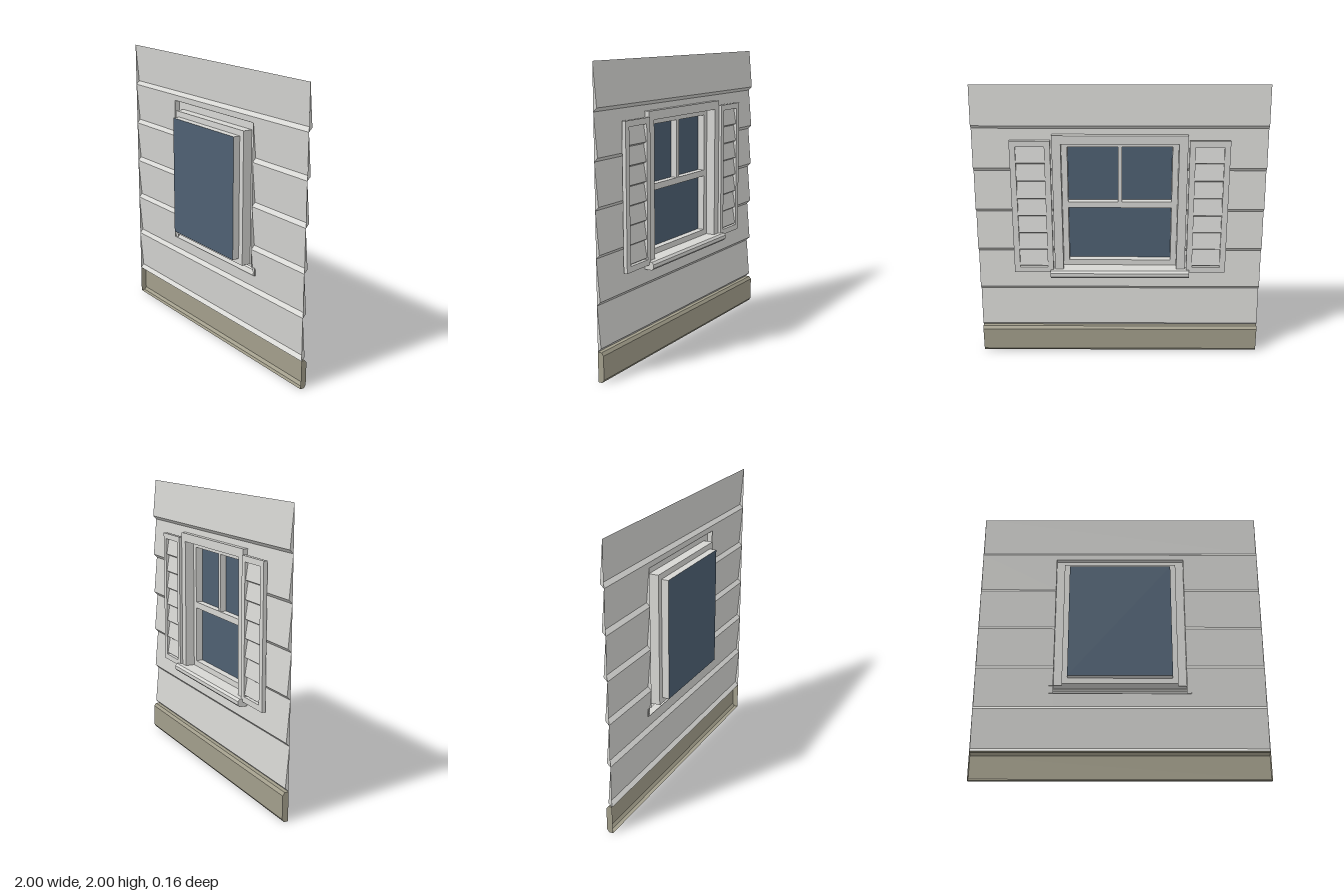
import * as THREE from 'three';

const material = (name, color) => {
  const m = new THREE.MeshStandardMaterial({ color, side: THREE.DoubleSide });
  m.name = name;
  return m;
};

// Flat-shaded geometry from triangles of [x, y, z] corners
function fromCorners(corners) {
  const g = new THREE.BufferGeometry();
  g.setAttribute('position', new THREE.Float32BufferAttribute(corners.flat(), 3));
  g.computeVertexNormals();
  return g;
}
const quad = (a, b, c, d) => [a, b, c, a, c, d];

// Sheet swept along x from an open [z, y] profile listed top to bottom; ends can be capped
function sweep(profiles, x0, x1, caps = []) {
  const out = [];
  for (const p of profiles) {
    for (let i = 0; i < p.length - 1; i++) {
      const [za, ya] = p[i], [zb, yb] = p[i + 1];
      out.push(...quad([x0, ya, za], [x0, yb, zb], [x1, yb, zb], [x1, ya, za])
        .reverse());
    }
    for (const x of caps) {
      for (let i = 1; i < p.length - 1; i++) {
        const tri = [p[0], p[i], p[i + 1]].map(([z, y]) => [x, y, z]);
        out.push(...(x < 0 ? tri : tri.reverse()));
      }
    }
  }
  // outward means towards -z
  return fromCorners(out);
}

// Thin rectangular rings joined one after the other: [halfWidth, bottom, top, z]
function rings(list, withBottom = true) {
  const corners = ([w, b, t, z]) => [[-w, b, z], [-w, t, z], [w, t, z], [w, b, z]];
  const out = [];
  for (let i = 0; i < list.length - 1; i++) {
    const a = corners(list[i]), c = corners(list[i + 1]);
    for (let k = 0; k < (withBottom ? 4 : 3); k++) {
      const n = (k + 1) % 4;
      out.push(...quad(a[k], a[n], c[n], c[k]));
    }
  }
  return fromCorners(out);
}

export function createModel() {
  const model = new THREE.Group();
  model.name = 'windowWall';
  const paint = material('palePaint', 0xd6d6d3);
  const stone = material('oliveBase', 0xa29e8b);
  const glass = material('blueGlass', 0x4e6072);

  const add = (name, geometry, mat, parent = model) => {
    const mesh = new THREE.Mesh(geometry, mat);
    mesh.name = name;
    parent.add(mesh);
    return mesh;
  };
  const box = (name, x0, x1, y0, y1, z0, z1, parent) =>
    add(name, new THREE.BoxGeometry(x1 - x0, y1 - y0, z1 - z0), paint, parent)
      .position.set((x0 + x1) / 2, (y0 + y1) / 2, (z0 + z1) / 2);

  // Lapped siding with an opening for the window
  const holeW = 0.46, holeB = 0.615, holeT = 1.66, lap = 0.025;
  const board = b => [[0, b + 0.3], [-lap, b + lap], [0, b]];
  const slope = (y, b) => -lap * (b + 0.3 - y) / (0.3 - lap);
  const siding = new THREE.Group();
  siding.name = 'siding';
  model.add(siding);
  add('fullBoards', sweep([board(0.2), board(1.7)], -1, 1, [-1, 1]), paint, siding);
  const cutBoards = [0.5, 0.8, 1.1, 1.4].map(board);
  add('rightBoards', sweep(cutBoards, -1, -holeW, [-1]), paint, siding);
  add('leftBoards', sweep(cutBoards, holeW, 1, [1]), paint, siding);
  add('boardBelowWindow',
    sweep([[[slope(holeB, 0.5), holeB], [-lap, 0.5 + lap], [0, 0.5]]], -holeW, holeW), paint, siding);
  add('boardAboveWindow',
    sweep([[[0, 1.7], [slope(holeT, 1.4), holeT]]], -holeW, holeW), paint, siding);

  // Chamfered base, open at the inside
  add('base', sweep([[[0, 0.2], [-0.028, 0.2], [-0.043, 0.18], [-0.043, 0.02], [-0.028, 0], [0, 0]]],
    -1, 1, [-1, 1]), stone);

  // Window: casing, stepped reveal, glass, bars
  const win = new THREE.Group();
  win.name = 'window';
  model.add(win);
  add('casing', rings([[0.46, 0.67, 1.66, 0], [0.46, 0.67, 1.66, -0.037], [0.4, 0.67, 1.6, -0.037]], false),
    paint, win);
  add('reveal', rings([[0.4, 0.67, 1.6, -0.037], [0.4, 0.67, 1.6, 0.03], [0.36, 0.71, 1.56, 0.03],
    [0.36, 0.71, 1.56, 0.08]]), paint, win);
  const pane = add('glass', new THREE.PlaneGeometry(0.72, 0.85), glass, win);
  pane.position.set(0, 1.135, 0.08);
  box('meetingRail', -0.36, 0.36, 1.113, 1.157, 0.03, 0.078, win);
  box('upperBar', -0.014, 0.014, 1.157, 1.56, 0.032, 0.078, win);

  // Sill with a chamfered nose
  add('sill', sweep([[[-0.008, 0.67], [-0.07, 0.67], [-0.085, 0.655], [-0.085, 0.63], [-0.07, 0.615],
    [-0.008, 0.615]]], -0.49, 0.49, [-0.49, 0.49]), paint, win);

  // Louvred shutters
  const y0 = 0.65, y1 = 1.625, rim = 0.04, count = 7;
  const pitch = (y1 - y0 - 2 * rim) / count;
  for (const [name, x0] of [['leftShutter', 0.47], ['rightShutter', -0.745]]) {
    const x1 = x0 + 0.275;
    const shutter = new THREE.Group();
    shutter.name = name;
    model.add(shutter);
    for (const x of [x0, x1 - rim]) box('stile', x, x + rim, y0, y1, -0.052, -0.025, shutter);
    for (const y of [y0, y1 - rim]) box('rail', x0 + rim, x1 - rim, y, y + rim, -0.052, -0.025, shutter);
    const slats = [];
    for (let i = 0; i < count; i++) {
      const b = y0 + rim + i * pitch;
      slats.push([[-0.027, b + pitch], [-0.046, b + 0.012], [-0.027, b]]);
    }
    add('louvres', sweep(slats, x0 + rim, x1 - rim), paint, shutter);
  }
  return model;
}
